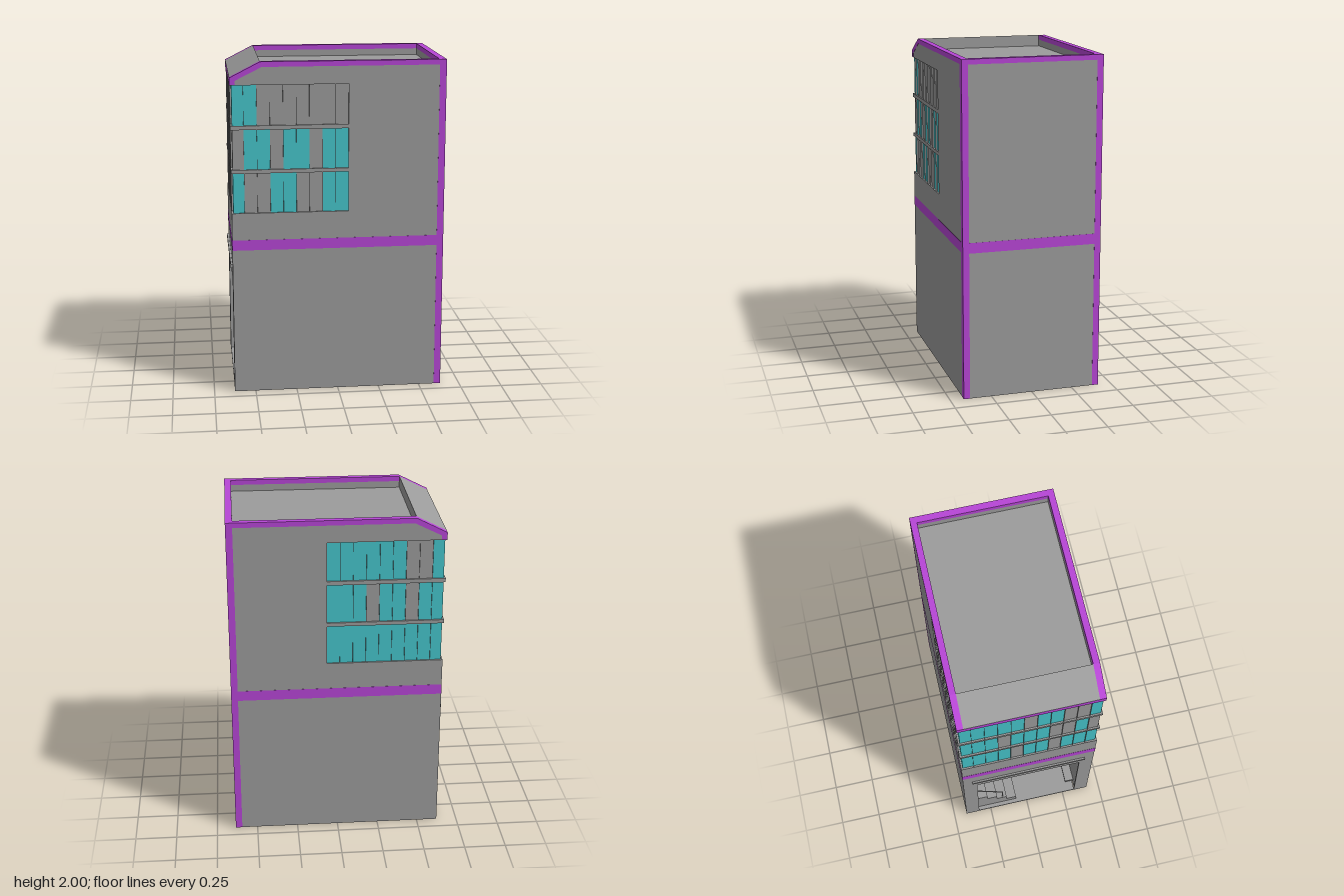
import * as THREE from 'three';

export function createModel() {
  const root = new THREE.Group();
  const mat = (color) => new THREE.MeshStandardMaterial({ color, flatShading: true });
  const grey = mat(0x9c9c9c), purple = mat(0xb746d6), cyan = mat(0x46c6cc);

  function add(name, geo, m, parent = root) {
    const mesh = new THREE.Mesh(geo, m);
    mesh.name = name;
    parent.add(mesh);
    return mesh;
  }
  // Box given by its minimum and maximum corners
  function box(name, m, x0, x1, y0, y1, z0, z1, parent) {
    const g = new THREE.BoxGeometry(x1 - x0, y1 - y0, z1 - z0);
    g.translate((x0 + x1) / 2, (y0 + y1) / 2, (z0 + z1) / 2);
    return add(name, g, m, parent);
  }
  // Outline in the xy plane, extruded from z0 to z1
  function slab(name, m, pts, z0, z1) {
    const s = new THREE.Shape(pts.map(([x, y]) => new THREE.Vector2(x, y)));
    const g = new THREE.ExtrudeGeometry(s, { depth: z1 - z0, bevelEnabled: false });
    g.translate(0, 0, z0);
    return add(name, g, m);
  }

  // Wall faces, wall thickness, trim width, trim relief, window recess
  const L = -0.626, R = 0.634, W = 0.418, T = 0.01, P = 0.037, E = 0.001, inset = 0.01;
  const rows = [[1.11, 1.348], [1.37, 1.606], [1.63, 1.866]];
  const winEnd = 0.063;

  // Front and back walls, notched for the wrap-around windows
  const outline = [[L, 0], [R, 0], [R, 1.998], [-0.45, 1.998], [L, 1.908]];
  for (const [y0, y1] of [...rows].reverse()) outline.push([L, y1], [winEnd, y1], [winEnd, y0], [L, y0]);
  // Sloping roof edge trim
  const rim = [[R + E, 1.97], [R + E, 2], [-0.45, 2], [L - E, 1.91], [L - E, 1.868],
    [-0.595, 1.868], [-0.595, 1.893], [-0.44, 1.97]];
  for (const [side, s] of [['front', 1], ['back', -1]]) {
    const span = (a, b) => (s > 0 ? [a, b] : [-b, -a]);
    const [w0, w1] = span(W - T, W), [t0, t1] = span(W - T, W + E), [p0, p1] = span(W - P, W + E);
    slab(side + 'Wall', grey, outline, w0, w1);
    slab(side + 'RoofTrim', purple, rim, p0, p1);
    box(side + 'Parapet', grey, -0.45, R - T, 1.9, 1.97, ...span(W - P, W - T));
    box(side + 'CornerTrim', purple, R - T, R + E, 0, 1.99, p0, p1);
    box(side + 'CornerTrimFace', purple, 0.595, R - T, 0, 1.99, t0, t1);
    box(side + 'Band', purple, L - E, 0.595, 0.885, 0.947, t0, t1);
  }

  // Closed end wall with its parapet and trim
  box('endWall', grey, R - T, R, 0, 1.97, -W + P, W - P);
  box('endParapet', grey, 0.595, R - T, 1.9, 1.97, -W + P, W - P);
  box('endRoofTrim', purple, 0.595, R + E, 1.97, 2, -W + P, W - P);
  box('endBand', purple, R - T, R + E, 0.885, 0.947, -W + P, W - P);

  // Entrance wall: jambs, lintel, floor edges and eave
  for (const [z0, z1] of [[-W + T, -0.33], [0.33, W - T]]) box('entranceJamb', grey, L, L + T, 0, 0.685, z0, z1);
  box('entranceLintel', grey, L, L + T, 0.685, 1.11, -W + T, W - T);
  box('entranceBand', purple, L - E, L + T, 0.885, 0.947, -W + T, W - T);
  for (const i of [0, 1]) box('floorEdge', grey, L, L + 0.03, rows[i][1], rows[i + 1][0], -W + T, W - T);
  box('eaveTrim', purple, L - E, L + P, 1.868, 1.908, -W + P, W - P);
  box('entranceCanopy', grey, -0.637, L, 0.763, 0.785, -0.36, 0.36);

  // Sunken roof deck and sloping roof
  box('roofDeck', grey, -0.46, 0.6, 1.9, 1.93, -W + P, W - P);
  slab('slopingRoof', grey, [[L - E, 1.9], [-0.45, 1.89], [-0.45, 2], [L - E, 1.91]], -W + P, W - P);

  // Windows: c is a coloured pane, g a grey one; rows run from bottom to top.
  // trim0 and trim1 shorten the end panes where two rows meet at a corner.
  function windows(name, patterns, length, trim0, trim1, place) {
    const group = new THREE.Group();
    group.name = name;
    patterns.forEach((pattern, r) => {
      const [y0, y1] = rows[r], w = length / pattern.length;
      [...pattern].forEach((c, i) => {
        const x0 = Math.max(i * w, trim0), x1 = Math.min((i + 1) * w, length - trim1);
        box('pane', c === 'c' ? cyan : grey, x0, x1, y0, y1, -inset - 0.01, -inset, group);
        if (i) box('mullion', grey, i * w - 0.0005, i * w + 0.0005, y0, y1, -inset, -0.001, group);
      });
    });
    place(group);
    root.add(group);
  }
  windows('frontWindows', ['cggccggcc', 'gccgccgcc', 'ccggggggg'], winEnd - L, inset, 0,
    (g) => g.position.set(L, 0, W));
  windows('backWindows', ['ccccccccc', 'cccgccgcc', 'ccccccggc'], winEnd - L, 0, inset, (g) => {
    g.rotation.y = Math.PI;
    g.position.set(winEnd, 0, -W);
  });
  windows('entranceWindows', ['ccccgccgccc', 'cccgcccggcg', 'cccccgccggc'], 2 * W, inset, inset, (g) => {
    g.rotation.y = -Math.PI / 2;
    g.position.set(L, 0, -W);
  });

  // Entrance hall
  const hallEnd = 0.155;
  box('hallFloor', grey, L + E, hallEnd, 0, 0.012, -0.33, 0.33);
  box('hallBackWall', grey, hallEnd - 0.01, hallEnd, 0.012, 0.8, -0.345, 0.345);
  box('hallCeiling', grey, L + T, hallEnd, 0.8, 0.815, -0.345, 0.345);
  for (const z of [-0.345, 0.335]) box('hallSideWall', grey, L + T, hallEnd - 0.01, 0, 0.8, z, z + 0.01);
  box('bench', grey, -0.57, 0.1, 0.045, 0.065, 0.28, 0.335);

  // Stairs rising across the entrance, with a handrail on each end
  for (let i = 0; i < 4; i++) {
    const z = -0.07 - i * 0.065;
    box('stairStep', grey, -0.6, -0.15, 0.012, 0.012 + (i + 1) * 0.055, z - 0.065, z);
  }
  for (const x of [-0.59, -0.16]) {
    const path = new THREE.LineCurve3(new THREE.Vector3(x, 0.225, -0.16), new THREE.Vector3(x, 0.39, -0.325));
    add('handrail', new THREE.TubeGeometry(path, 1, 0.004, 6), grey);
    box('handrailPost', grey, x - 0.003, x + 0.003, 0.11, 0.227, -0.163, -0.157);
  }
  return root;
}
